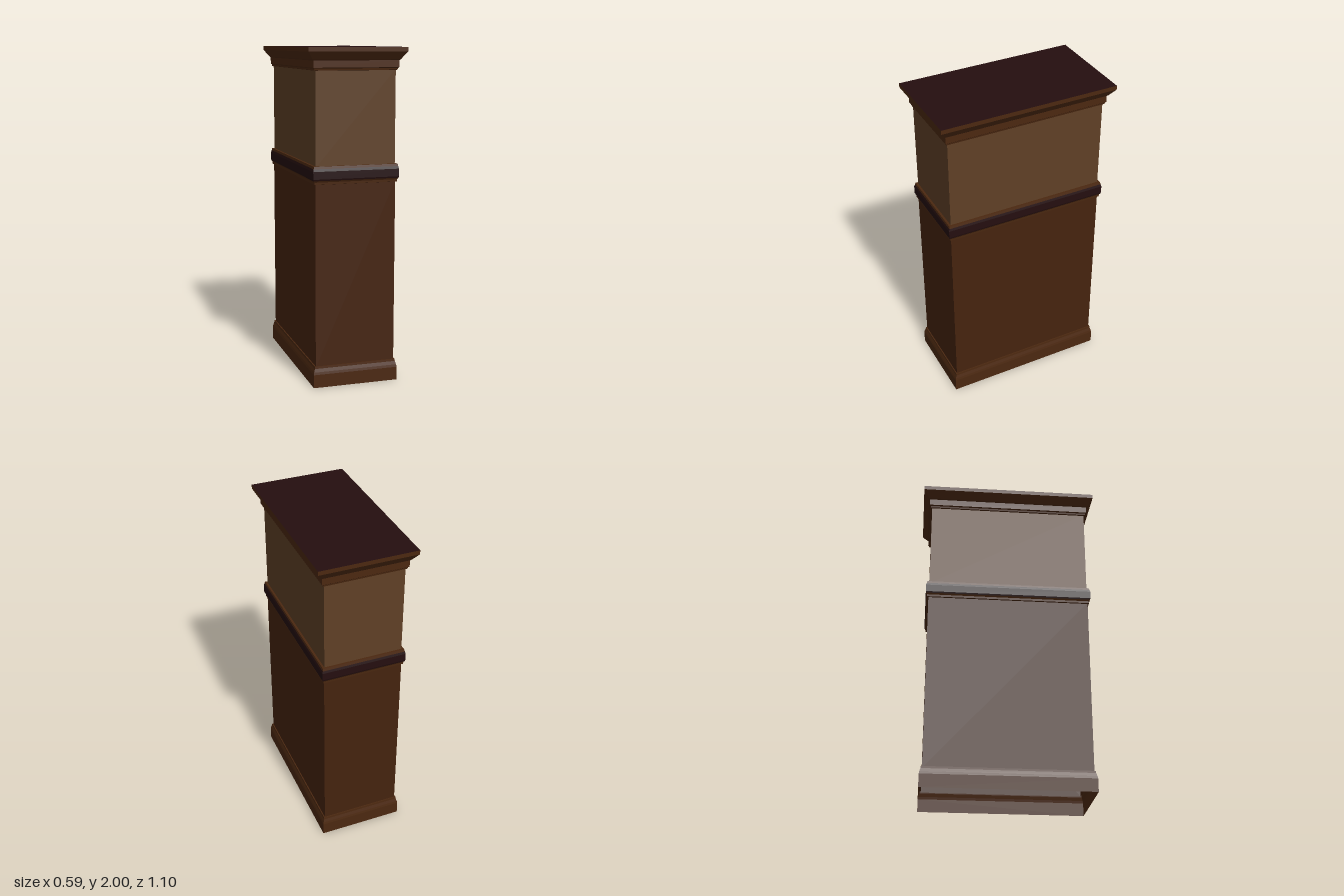
import * as THREE from 'three';

const DEPTH_EXTRA = 0.252; // the cabinet is this much deeper (half size) than wide

const mat = (name, color) =>
  new THREE.MeshStandardMaterial({ name, color, side: THREE.DoubleSide });

// Sweeps a profile of [half width, height] points round the rectangular plan, mitred at the corners
function rectSweep(profile) {
  const corners = [[1, 1], [1, -1], [-1, -1], [-1, 1]];
  const at = ([h, y], [sx, sz]) => [sx * h, y, sz * (h + DEPTH_EXTRA)];
  const pos = [];
  for (let p = 0; p < profile.length - 1; p++) {
    for (let i = 0; i < 4; i++) {
      const c = corners[i], d = corners[(i + 1) % 4];
      const a = at(profile[p], c), b = at(profile[p], d);
      const e = at(profile[p + 1], d), f = at(profile[p + 1], c);
      pos.push(...a, ...b, ...e, ...a, ...e, ...f);
    }
  }
  const g = new THREE.BufferGeometry();
  g.setAttribute('position', new THREE.Float32BufferAttribute(pos, 3));
  g.computeVertexNormals();
  return g;
}

export function createModel() {
  const group = new THREE.Group();
  const bodyWood = mat('body wood', 0x45230e);
  const trimWood = mat('trim wood', 0x4b2810);
  const panelWood = mat('light panel wood', 0x5f4026);
  const darkWood = mat('dark wood', 0x240e0f);

  const add = (name, material, profile) => {
    const mesh = new THREE.Mesh(rectSweep(profile), material);
    mesh.name = name;
    group.add(mesh);
  };

  // Hollow plinth, open below, with a sloped upper edge
  add('plinth', trimWood, [
    [0.262, 0], [0.262, 0.08], [0.259, 0.095], [0.253, 0.115], [0.252, 0.128], [0.245, 0.128],
  ]);

  // Main body and lighter upper panels
  add('lowerBody', bodyWood, [[0.245, 0.118], [0.245, 1.225]]);
  add('upperPanels', panelWood, [[0.242, 1.315], [0.242, 1.875]]);

  // Waist moulding: dark rounded band between two thin wood strips
  add('waistLowerTrim', trimWood, [[0.245, 1.217], [0.253, 1.219], [0.254, 1.232], [0.259, 1.241]]);
  add('waistBand', darkWood, [
    [0.259, 1.241], [0.262, 1.25], [0.262, 1.295], [0.258, 1.31],
  ]);
  add('waistUpperTrim', trimWood, [[0.258, 1.31], [0.255, 1.324], [0.242, 1.324]]);

  // Crown moulding flaring out to the top
  add('crown', trimWood, [
    [0.242, 1.868], [0.25, 1.87], [0.252, 1.88], [0.258, 1.885], [0.258, 1.925],
    [0.264, 1.93], [0.297, 1.975], [0.297, 2],
  ]);

  // Dark top board
  const top = new THREE.Mesh(
    new THREE.PlaneGeometry(0.594, 2 * (0.297 + DEPTH_EXTRA)).rotateX(-Math.PI / 2), darkWood);
  top.position.y = 2;
  top.name = 'top';
  group.add(top);

  return group;
}
